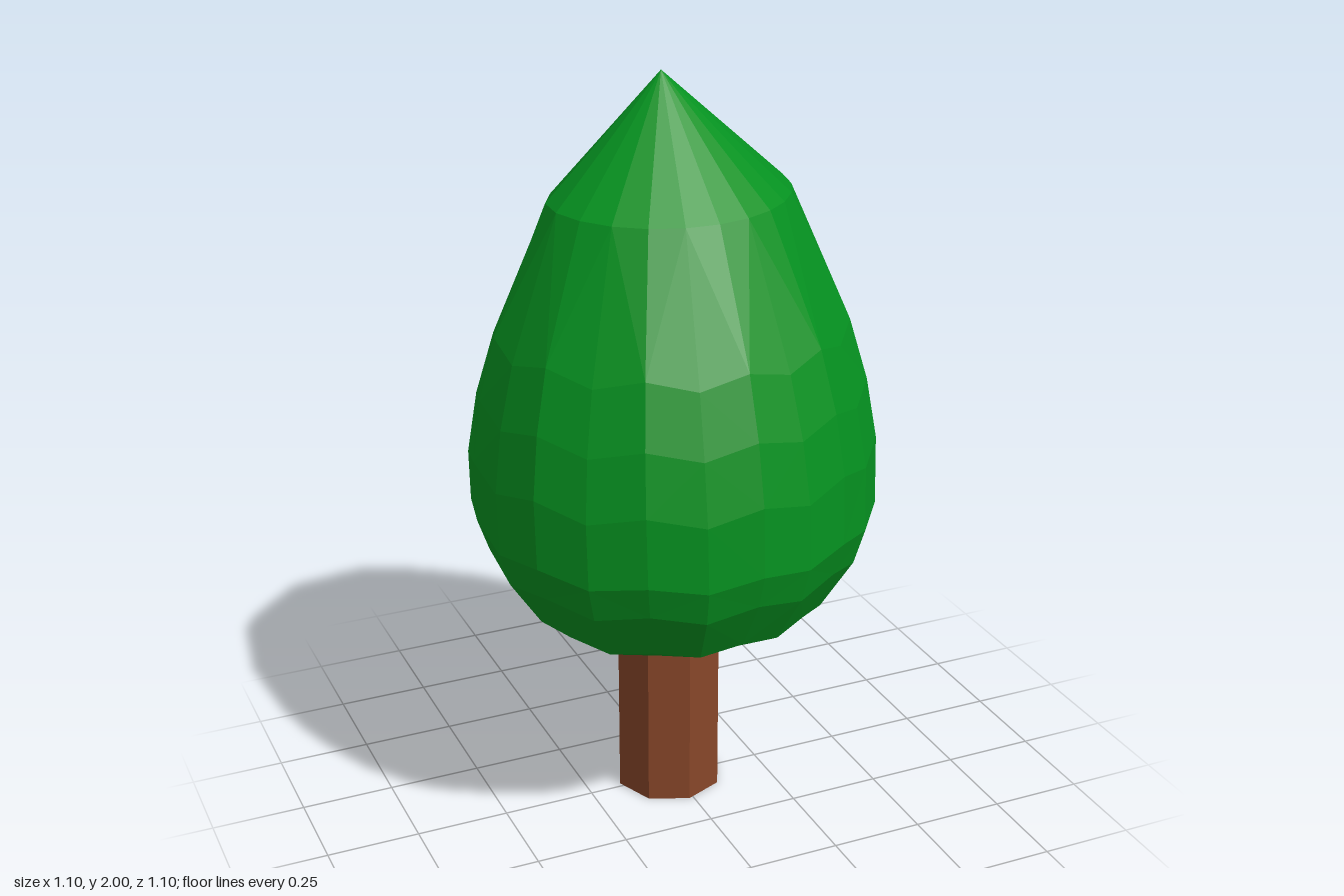
import * as THREE from 'three';

const SIDES = 24;

// Crown rings from top to bottom: radius, height, zigzag of the height between
// neighbouring corners, then inward cut and lift on the flattened back side
const RINGS = [
  [0.33, 1.7, 0, 0.4, 0],
  [0.48, 1.36, 0.015, 0.15, 0],
  [0.525, 1.2, 0.015, 0.07, 0],
  [0.55, 1.04, 0.015, 0.02, 0],
  [0.55, 0.86, 0.01, 0.01, 0.07],
  [0.52, 0.765, 0.012, 0.01, 0.09],
  [0.43, 0.62, 0.008, 0, 0.15],
  [0.31, 0.55, 0.004, 0, 0.13],
  [0.13, 0.495, 0, 0, 0.03],
];

// Strength from 0 to 1 around a direction given in degrees from the front
const towards = (a, degrees, power) =>
  Math.max(0, Math.cos(a - THREE.MathUtils.degToRad(degrees))) ** power;

function crownPoint(ring, j) {
  const [radius, height, zigzag, cut, lift] = RINGS[ring];
  const a = (j / SIDES) * Math.PI * 2;
  const oval = 1 + 0.04 * Math.cos(2 * (a - Math.PI * 0.75)); // longer along one diagonal
  const r = radius * (oval - cut * towards(a, 205, 3));
  const shift = Math.max(0, height - 0.9) / 1.1; // axis leans towards the tip
  return new THREE.Vector3(
    Math.sin(a) * r - 0.02 * shift,
    height + (j % 2 ? -zigzag : zigzag) + lift * towards(a, 215, 2),
    Math.cos(a) * r - 0.035 * shift
  );
}

function crownGeometry() {
  const positions = [];
  const triangle = (...corners) => corners.forEach((p) => positions.push(p.x, p.y, p.z));
  const tip = new THREE.Vector3(-0.02, 2, -0.035);
  const base = new THREE.Vector3(-0.01, 0.49, -0.01);
  const last = RINGS.length - 1;

  for (let j = 0; j < SIDES; j++) {
    const n = (j + 1) % SIDES;
    triangle(tip, crownPoint(0, j), crownPoint(0, n));
    for (let i = 0; i < last; i++) {
      const a = crownPoint(i, j), b = crownPoint(i, n);
      const c = crownPoint(i + 1, j), d = crownPoint(i + 1, n);
      // Alternate the diagonals so the facets mirror about each corner
      if (j % 2) {
        triangle(a, c, d);
        triangle(a, d, b);
      } else {
        triangle(a, c, b);
        triangle(b, c, d);
      }
    }
    triangle(base, crownPoint(last, n), crownPoint(last, j));
  }

  const geometry = new THREE.BufferGeometry();
  geometry.setAttribute('position', new THREE.Float32BufferAttribute(positions, 3));
  geometry.computeVertexNormals();
  return geometry;
}

export function createModel() {
  const leafGreen = new THREE.MeshStandardMaterial({ color: 0x059120, flatShading: true });
  leafGreen.name = 'leafGreen';
  const barkBrown = new THREE.MeshStandardMaterial({ color: 0x874629, flatShading: true });
  barkBrown.name = 'barkBrown';

  const model = new THREE.Group();
  model.name = 'tree';

  // Faceted egg-shaped crown
  const crown = new THREE.Mesh(crownGeometry(), leafGreen);
  crown.name = 'crown';
  model.add(crown);

  // Eight-sided trunk reaching slightly into the crown
  const trunk = new THREE.Mesh(new THREE.CylinderGeometry(0.147, 0.147, 0.56, 8), barkBrown);
  trunk.name = 'trunk';
  trunk.position.set(-0.012, 0.28, -0.014);
  model.add(trunk);

  return model;
}
